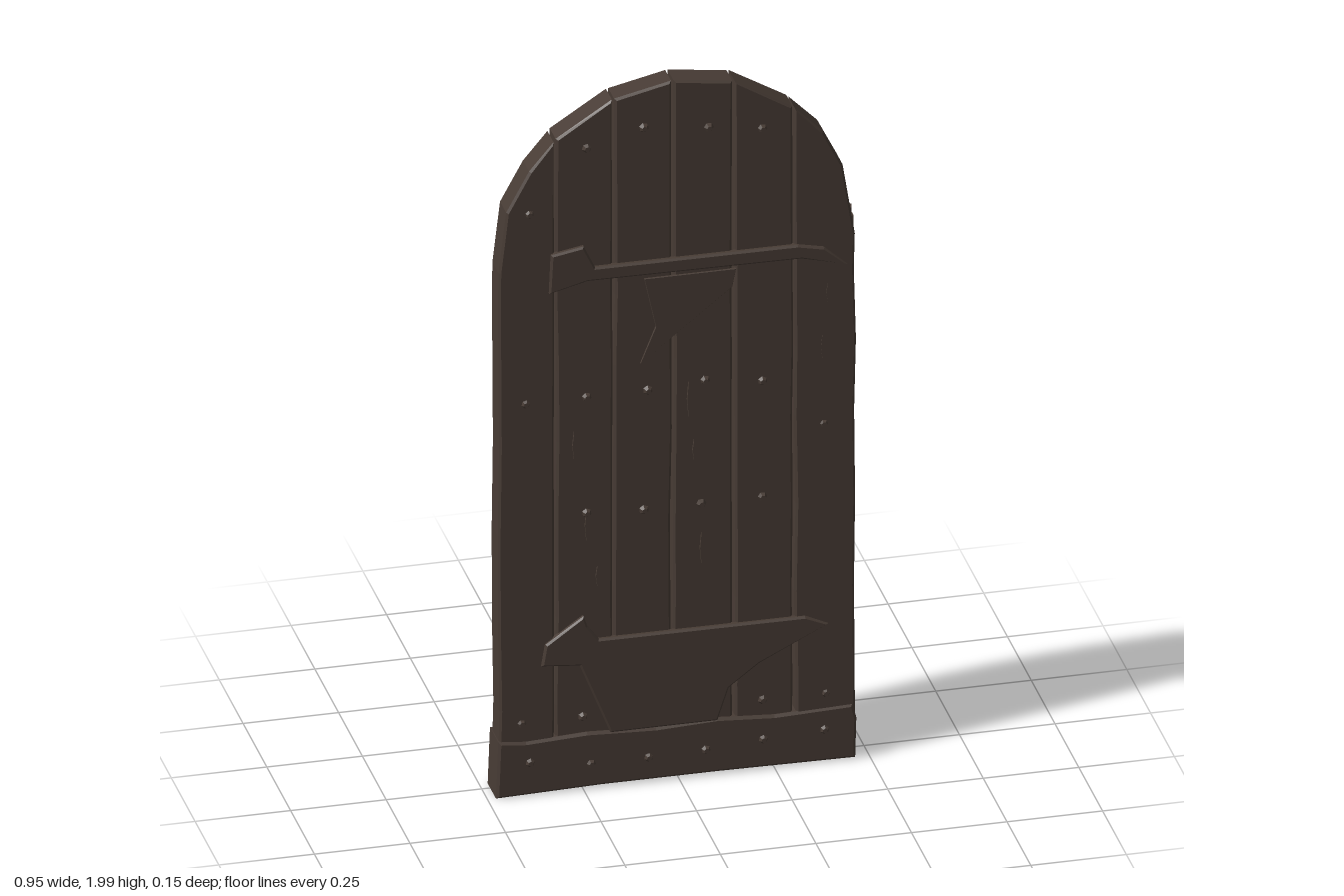
import * as THREE from 'three';

const wood = new THREE.MeshStandardMaterial({ color: 0x483c35, flatShading: true });
wood.name = 'darkWood';

// small seeded generator for hand-hewn irregularity
let seed = 7;
const rand = () => {
  seed = (seed * 16807) % 2147483647;
  return seed / 2147483647;
};
const jitter = (a) => (rand() * 2 - 1) * a;

// arch outline, left to right
const ARCH = [[-0.47, 1.5], [-0.45, 1.67], [-0.39, 1.78], [-0.31, 1.88], [-0.18, 1.96], [0, 2.0],
  [0.15, 1.975], [0.3, 1.885], [0.38, 1.8], [0.43, 1.7], [0.462, 1.5]];

function archY(x) {
  for (let i = 1; i < ARCH.length; i++) {
    const [x0, y0] = ARCH[i - 1], [x1, y1] = ARCH[i];
    if (x <= x1) return y0 + ((y1 - y0) * (x - x0)) / (x1 - x0);
  }
  return 1.5;
}

function add(parent, name, geometry, x = 0, y = 0, z = 0) {
  const mesh = new THREE.Mesh(geometry, wood);
  mesh.name = name;
  mesh.position.set(x, y, z);
  parent.add(mesh);
  return mesh;
}

// flat outline extruded between two depths with a chipped edge
function slab(parent, name, points, zBack, zFront, bevel = 0.005) {
  const shape = new THREE.Shape(points.map(([x, y]) => new THREE.Vector2(x, y)));
  const geometry = new THREE.ExtrudeGeometry(shape, {
    depth: zFront - zBack - 2 * bevel, bevelEnabled: bevel > 0, bevelThickness: bevel,
    bevelSize: bevel, bevelOffset: -bevel, bevelSegments: 1,
  });
  return add(parent, name, geometry, 0, 0, zBack + bevel);
}

// band of tapering width that follows a smooth path
function band(parent, name, path, w0, w1, zBack, zFront) {
  const curve = new THREE.CatmullRomCurve3(path.map(([x, y]) => new THREE.Vector3(x, y, 0)));
  const n = 18, left = [], right = [];
  for (let i = 0; i <= n; i++) {
    const p = curve.getPointAt(i / n), t = curve.getTangentAt(i / n);
    const w = (w0 + (w1 - w0) * (i / n)) / 2;
    left.push([p.x - t.y * w, p.y + t.x * w]);
    right.unshift([p.x + t.y * w, p.y - t.x * w]);
  }
  return slab(parent, name, [...left, ...right], zBack, zFront, 0.003);
}

function buildPlanks(door) {
  const seams = [-0.47, -0.323, -0.17, -0.015, 0.145, 0.302, 0.462];
  for (let i = 0; i < 6; i++) {
    const last = i === 5, first = i === 0;
    const x0 = seams[i] + (first ? 0 : 0.003), x1 = seams[i + 1] - (last ? 0 : 0.003);
    const points = [];
    const rise = [0.02, 0.25, 0.5, 0.75, 1.0, 1.2, 1.4];
    rise.forEach((y) => points.push([x0 + (first ? jitter(0.003) : jitter(0.003)), y]));
    points.push([x0, archY(x0) - (first ? 0 : 0.004)]);
    ARCH.filter(([x]) => x > x0 + 0.015 && x < x1 - 0.015).forEach((p) => points.push(p));
    points.push([x1, archY(x1) - (last ? 0 : 0.004)]);
    rise.reverse().forEach((y) => points.push([x1 + jitter(0.003), y]));
    slab(door, 'plank', points, -0.014 + jitter(0.003), 0.06 + jitter(0.003), 0.006);
  }
}

function buildFrontBraces(door) {
  slab(door, 'upperFrontBrace', [[-0.34, 1.43], [-0.24, 1.455], [0.32, 1.45], [0.44, 1.42], [0.38, 1.475],
    [0.31, 1.49], [-0.22, 1.492], [-0.25, 1.555], [-0.335, 1.54]], 0.05, 0.072);
  slab(door, 'lowerFrontBrace', [[-0.18, 0.16], [0.1, 0.16], [0.13, 0.25], [0.21, 0.31], [0.39, 0.4],
    [0.33, 0.428], [-0.21, 0.43], [-0.24, 0.47], [-0.25, 0.5], [-0.35, 0.43], [-0.36, 0.37], [-0.26, 0.36]],
  0.05, 0.071);
  slab(door, 'bracePatch', [[0.15, 1.44], [0.14, 1.39], [-0.1, 1.2], [-0.06, 1.3], [-0.09, 1.44]], 0.056, 0.0635, 0.001);
}

// bottom rail wrapping both faces
function buildBottomRail(door) {
  const points = [[-0.478, 0.005], [-0.2, 0.012], [0.1, 0.012], [0.462, 0.008], [0.465, 0.12], [0.455, 0.162],
    [0.25, 0.155], [0.1, 0.165], [-0.06, 0.158], [-0.24, 0.166], [-0.4, 0.158], [-0.472, 0.165]];
  slab(door, 'bottomRail', points, -0.033, 0.068, 0.007);
}

// strap hinge with a scrolled crescent and a leaf-shaped tip
function buildHinge(door, y) {
  const hinge = new THREE.Group();
  hinge.name = 'strapHinge';
  hinge.position.y = y;
  door.add(hinge);
  slab(hinge, 'strap', [[0.465, -0.035], [0.3, -0.03], [-0.17, -0.018], [-0.21, -0.034], [-0.33, 0],
    [-0.21, 0.034], [-0.17, 0.018], [0.3, 0.03], [0.465, 0.035]], -0.034, -0.008);
  for (const s of [-1, 1]) {
    const crescent = [[0.345, 0], [0.325, 0.1], [0.25, 0.175], [0.17, 0.165], [0.135, 0.115], [0.165, 0.08], [0.19, 0.105]];
    band(hinge, 'crescentScroll', crescent.map(([x, v]) => [x, v * s]), 0.042, 0.02, -0.03, -0.008);
    const curl = [[-0.13, 0.005], [-0.165, 0.035], [-0.2, 0.065], [-0.235, 0.055], [-0.225, 0.03]];
    band(hinge, 'tipScroll', curl.map(([x, v]) => [x, v * s]), 0.022, 0.016, -0.028, -0.008);
    const knob = add(hinge, 'scrollKnob', new THREE.CylinderGeometry(0.014, 0.02, 0.03, 6), 0.185, 0.11 * s, -0.022);
    knob.rotation.x = -Math.PI / 2;
  }
  for (const x of [0.39, 0.24, 0.05, -0.12]) nail(hinge, x, 0, -0.034, -1);
  // barrel and the leaf that wraps the door edge
  add(hinge, 'hingeBarrel', new THREE.CylinderGeometry(0.022, 0.022, 0.11, 7), 0.453, 0, -0.022);
  add(hinge, 'hingeLeaf', new THREE.BoxGeometry(0.03, 0.085, 0.035), 0.455, 0, -0.005);
}

function nail(parent, x, y, z, side) {
  const mesh = add(parent, 'nail', new THREE.CylinderGeometry(0.007, 0.014, 0.012, 6), x, y, z + 0.003 * side);
  mesh.rotation.set((side * Math.PI) / 2, jitter(1), 0);
}

function buildNails(door) {
  const spots = [[-0.39, 1.66], [-0.09, 1.87], [0.08, 1.85], [0.22, 1.83], [-0.24, 1.83], [-0.4, 1.12], [-0.24, 1.12],
    [-0.08, 1.12], [0.07, 1.13], [0.22, 1.11], [0.38, 0.97], [-0.09, 0.78], [0.06, 0.78], [0.22, 0.78], [-0.24, 0.79],
    [-0.41, 0.21], [-0.25, 0.21], [-0.09, 0.2], [0.05, 0.2], [0.22, 0.2], [0.385, 0.2]];
  for (const [x, y] of spots) {
    nail(door, x, y, 0.06, 1);
    nail(door, x, y, -0.014, -1);
  }
  for (const x of [-0.39, -0.23, -0.08, 0.07, 0.22, 0.38]) {
    nail(door, x, 0.085 + jitter(0.015), 0.068, 1);
    nail(door, x, 0.085 + jitter(0.015), -0.033, -1);
  }
  // raised splinters along the grain
  for (let i = 0; i < 16; i++) {
    const x = -0.4 + 0.155 * (i % 6) + jitter(0.04), y = 0.55 + rand() * 0.8, h = 0.05 + rand() * 0.05;
    const z = i % 2 ? 0.058 : -0.018;
    slab(door, 'splinter', [[x, y], [x + 0.007, y + h * 0.6], [x, y + h], [x - 0.004, y + h * 0.5]], z, z + 0.007, 0);
  }
}

// back-face pull: faceted boss with a hanging ring
function buildHandle(door) {
  const handle = new THREE.Group();
  handle.name = 'ringHandle';
  handle.position.set(-0.33, 0.96, 0);
  door.add(handle);
  const plate = add(handle, 'handlePlate', new THREE.CylinderGeometry(0.055, 0.072, 0.028, 8), 0, 0, -0.026);
  const boss = add(handle, 'handleBoss', new THREE.CylinderGeometry(0.022, 0.045, 0.038, 7), 0, -0.005, -0.056);
  plate.rotation.x = boss.rotation.x = -Math.PI / 2;
  const ring = add(handle, 'pullRing', new THREE.TorusGeometry(0.062, 0.011, 6, 14), 0, -0.105, -0.05);
  ring.rotation.x = 0.08;
}

export function createModel() {
  seed = 7;
  const door = new THREE.Group();
  door.name = 'archedDoor';
  buildPlanks(door);
  buildBottomRail(door);
  buildFrontBraces(door);
  buildHinge(door, 1.485);
  buildHinge(door, 0.4);
  buildNails(door);
  buildHandle(door);
  return door;
}
